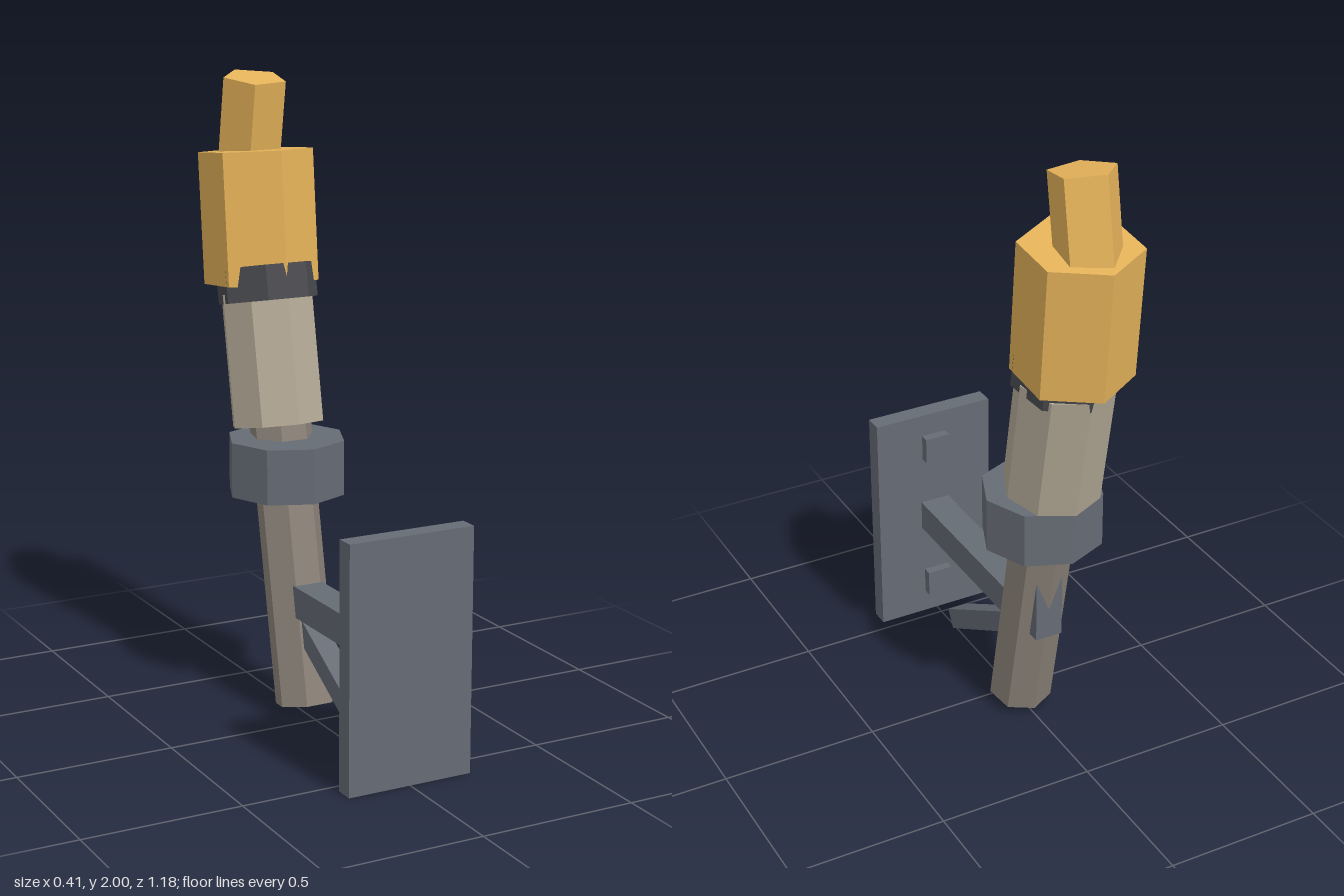
import * as THREE from 'three';

const paint = (color) => new THREE.MeshStandardMaterial({ color, flatShading: true });

export function createModel() {
  const model = new THREE.Group();
  const iron = paint(0x666c75);
  const darkIron = paint(0x4a4b50);
  const wood = paint(0x8c8379);
  const wrap = paint(0xb3a996);
  const flame = paint(0xe6b35a);

  // Box given by its size and centre
  function box(name, size, centre, tilt = 0) {
    const mesh = new THREE.Mesh(new THREE.BoxGeometry(...size), iron);
    mesh.name = name;
    mesh.position.set(...centre);
    mesh.rotation.x = tilt;
    model.add(mesh);
  }

  // Upright prism standing on a base centre (y, z), leaning back by tilt
  function prism(name, material, sides, radius, length, y, z, tilt, spin = 0) {
    const geometry = new THREE.CylinderGeometry(radius, radius, length, sides);
    geometry.rotateY(spin);
    geometry.translate(0, length / 2, 0);
    const mesh = new THREE.Mesh(geometry, material);
    mesh.name = name;
    mesh.position.set(0, y, z);
    mesh.rotation.x = -tilt;
    model.add(mesh);
  }

  // Wall plate with two bolts
  box('wallPlate', [0.41, 0.765, 0.06], [0, 0.3825, 0.565]);
  for (const y of [0.123, 0.645]) box('bolt', [0.085, 0.088, 0.04], [0, y, 0.525]);

  // Arm, diagonal strut and the clip behind the shaft
  box('arm', [0.1, 0.1, 0.64], [0, 0.385, 0.225]);
  box('strut', [0.07, 0.067, 0.5], [0, 0.19, 0.143], 0.52);
  box('backClip', [0.09, 0.3, 0.08], [0, 0.505, -0.21]);

  // Leaning shaft in its holder ring
  prism('shaft', wood, 7, 0.1, 0.95, 0.042, -0.064, 0.2, Math.PI);
  prism('holderRing', iron, 8, 0.19, 0.175, 0.705, -0.2, 0);

  // Wrapped head and dark band
  prism('wrappedHead', wrap, 8, 0.151, 0.42, 0.91, -0.258, 0.187);
  prism('band', darkIron, 7, 0.161, 0.11, 1.296, -0.321, 0.2, Math.PI);

  // Flame body and its tip, which bends forward again
  prism('flame', flame, 6, 0.181, 0.415, 1.347, -0.37, 0.092);
  prism('flameTip', flame, 5, 0.102, 0.3, 1.691, -0.462, -0.17, 0.83);

  return model;
}
